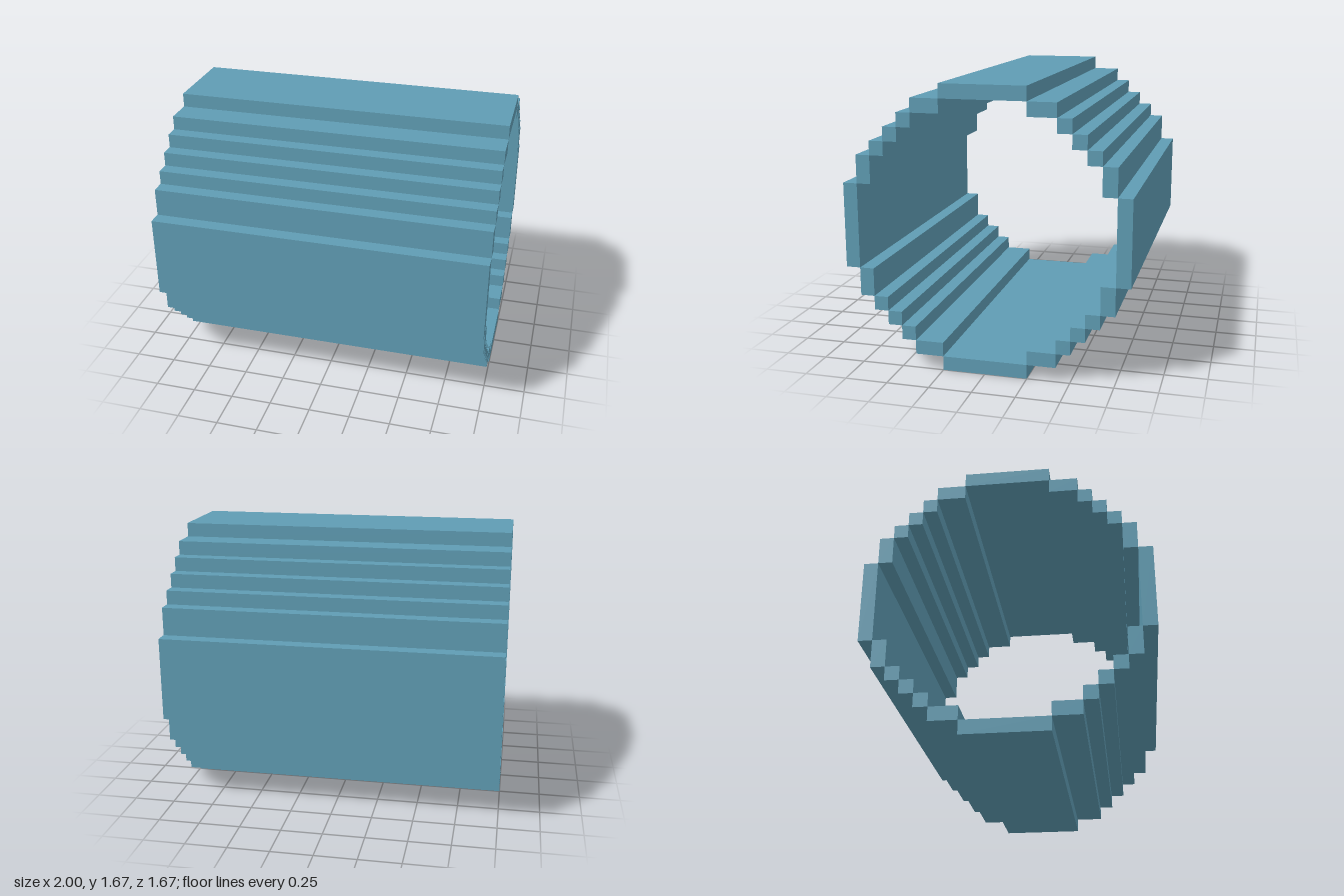
import * as THREE from 'three';

const UNIT = 1 / 12; // one grid step of the stepped ring
const LENGTH = 24;
const RADIUS = 10;

export function createModel() {
  const group = new THREE.Group();
  group.name = 'steppedTube';
  const blue = new THREE.MeshStandardMaterial({ color: 0x5f9cb3 });
  blue.name = 'dusty blue';

  // A plank running the full length, placed by its centre in grid steps
  const plank = (name, y, z, height, depth) => {
    const geometry = new THREE.BoxGeometry(LENGTH * UNIT, height * UNIT, depth * UNIT);
    const mesh = new THREE.Mesh(geometry, blue);
    mesh.name = name;
    mesh.position.set(0, (y + RADIUS) * UNIT, z * UNIT);
    group.add(mesh);
  };

  // Wide planks: top, bottom, front and back
  for (const s of [1, -1]) {
    plank(s > 0 ? 'topPlank' : 'bottomPlank', s * 9.5, 0, 1, 6);
    plank(s > 0 ? 'frontPlank' : 'backPlank', 0, s * 9.5, 6, 1);
  }

  // Corner steps as [y, z, height, depth], mirrored into four quarters
  const steps = [
    [8.5, 4, 1, 2],
    [7.5, 5.5, 1, 1],
    [6.5, 6.5, 1, 1],
    [5.5, 7.5, 1, 1],
    [4, 8.5, 2, 1],
  ];
  for (const sy of [1, -1]) {
    for (const sz of [1, -1]) {
      const corner = (sy > 0 ? 'upper' : 'lower') + (sz > 0 ? 'Front' : 'Back');
      steps.forEach(([y, z, h, d], i) => plank(`${corner}Step${i + 1}`, sy * y, sz * z, h, d));
    }
  }
  return group;
}
